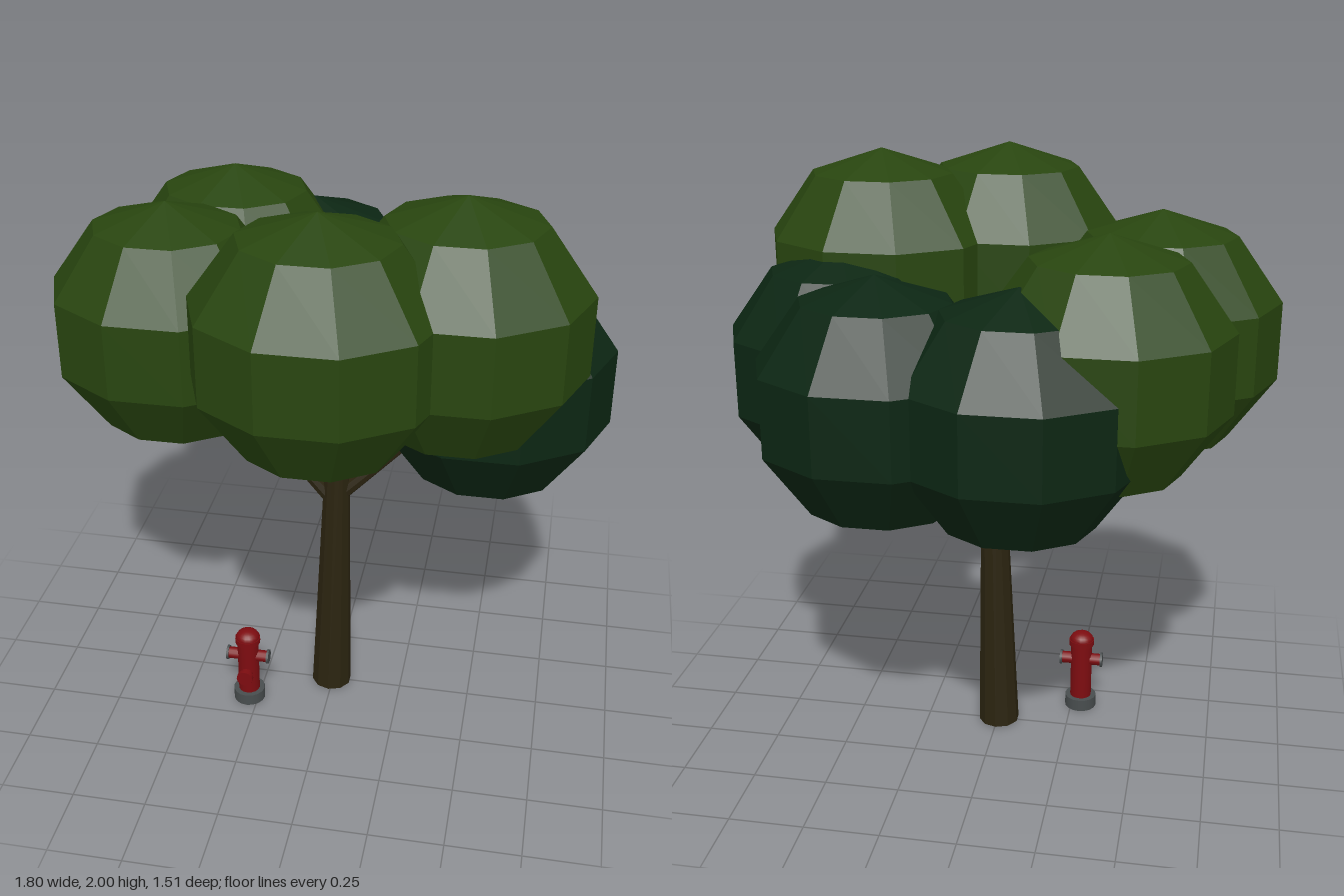
import * as THREE from 'three';

const mat = (name, color, flatShading = false) => {
  const m = new THREE.MeshStandardMaterial({ color, flatShading });
  m.name = name;
  return m;
};

export function createModel() {
  const lightLeaf = mat('light leaf green', 0x28450f, true);
  const darkLeaf = mat('dark leaf green', 0x0c2613, true);
  const bark = mat('bark brown', 0x2b2410, true);
  const red = mat('hydrant red', 0x7d0c10);
  const grey = mat('iron grey', 0x484d4e);

  const model = new THREE.Group();
  model.name = 'treeAndHydrant';
  const tree = new THREE.Group();
  tree.name = 'tree';
  const hydrant = new THREE.Group();
  hydrant.name = 'hydrant';
  model.add(tree, hydrant);

  const add = (parent, name, geometry, material) => {
    const mesh = new THREE.Mesh(geometry, material);
    mesh.name = name;
    parent.add(mesh);
    return mesh;
  };

  // Tapered rod between two points
  const rod = (parent, name, from, to, r0, r1, sides, material) => {
    const a = new THREE.Vector3(...from), b = new THREE.Vector3(...to);
    const dir = b.clone().sub(a);
    const mesh = add(parent, name, new THREE.CylinderGeometry(r1, r0, dir.length(), sides), material);
    mesh.position.copy(a).add(b).multiplyScalar(0.5);
    mesh.quaternion.setFromUnitVectors(new THREE.Vector3(0, 1, 0), dir.normalize());
    return mesh;
  };

  // Trunk and branches
  rod(tree, 'trunk', [-0.005, 0.005, 0], [0.02, 1.22, 0], 0.071, 0.034, 10, bark);
  [
    [[0.0, 0.79, 0], [-0.28, 1.14, 0.02]],
    [[0.01, 0.8, 0], [0.24, 1.03, -0.01]],
    [[0.01, 1.0, 0], [-0.17, 1.2, -0.15]],
    [[0.02, 1.0, 0], [0.15, 1.22, -0.15]],
    [[0.02, 1.02, 0], [0.03, 1.25, 0.2]],
  ].forEach(([from, to]) => rod(tree, 'branch', from, to, 0.026, 0.018, 8, bark));

  // Leaf clumps: low-poly balls, flattened front to back
  const clump = new THREE.SphereGeometry(1, 10, 5).scale(0.407, 0.41, 0.357);
  [
    [0.035, 1.59, 0.43, lightLeaf],
    [0.43, 1.59, 0.225, lightLeaf],
    [-0.515, 1.45, 0.065, lightLeaf],
    [-0.385, 1.45, -0.313, lightLeaf],
    [-0.14, 1.31, -0.437, darkLeaf],
    [0.31, 1.31, -0.365, darkLeaf],
    [0.513, 1.31, -0.01, darkLeaf],
  ].forEach(([x, y, z, material]) => {
    add(tree, 'leafClump', clump, material).position.set(x, y, z);
  });

  // Hydrant, built around its own axis
  hydrant.position.set(-0.283, 0, 0.15);
  rod(hydrant, 'base', [0, 0, 0], [0, 0.043, 0], 0.056, 0.056, 16, grey);
  rod(hydrant, 'body', [0, 0.04, 0], [0, 0.255, 0], 0.038, 0.038, 16, red);
  rod(hydrant, 'capRim', [0, 0.25, 0], [0, 0.27, 0], 0.045, 0.045, 16, red);
  const dome = add(hydrant, 'dome', new THREE.SphereGeometry(0.042, 16, 6, 0, Math.PI * 2, 0, Math.PI / 2), red);
  dome.position.y = 0.27;
  dome.scale.y = 0.7;

  // Side outlets with iron caps
  for (const s of [-1, 1]) {
    rod(hydrant, 'sideOutlet', [0, 0.19, 0], [s * 0.07, 0.19, 0], 0.021, 0.021, 12, red);
    rod(hydrant, 'sideCap', [s * 0.069, 0.19, 0], [s * 0.077, 0.19, 0], 0.026, 0.026, 12, grey);
  }

  // Front outlet
  rod(hydrant, 'frontOutlet', [0, 0.13, 0], [0, 0.13, 0.06], 0.022, 0.022, 12, red);
  rod(hydrant, 'frontCap', [0, 0.13, 0.052], [0, 0.13, 0.068], 0.029, 0.029, 12, red);

  return model;
}
